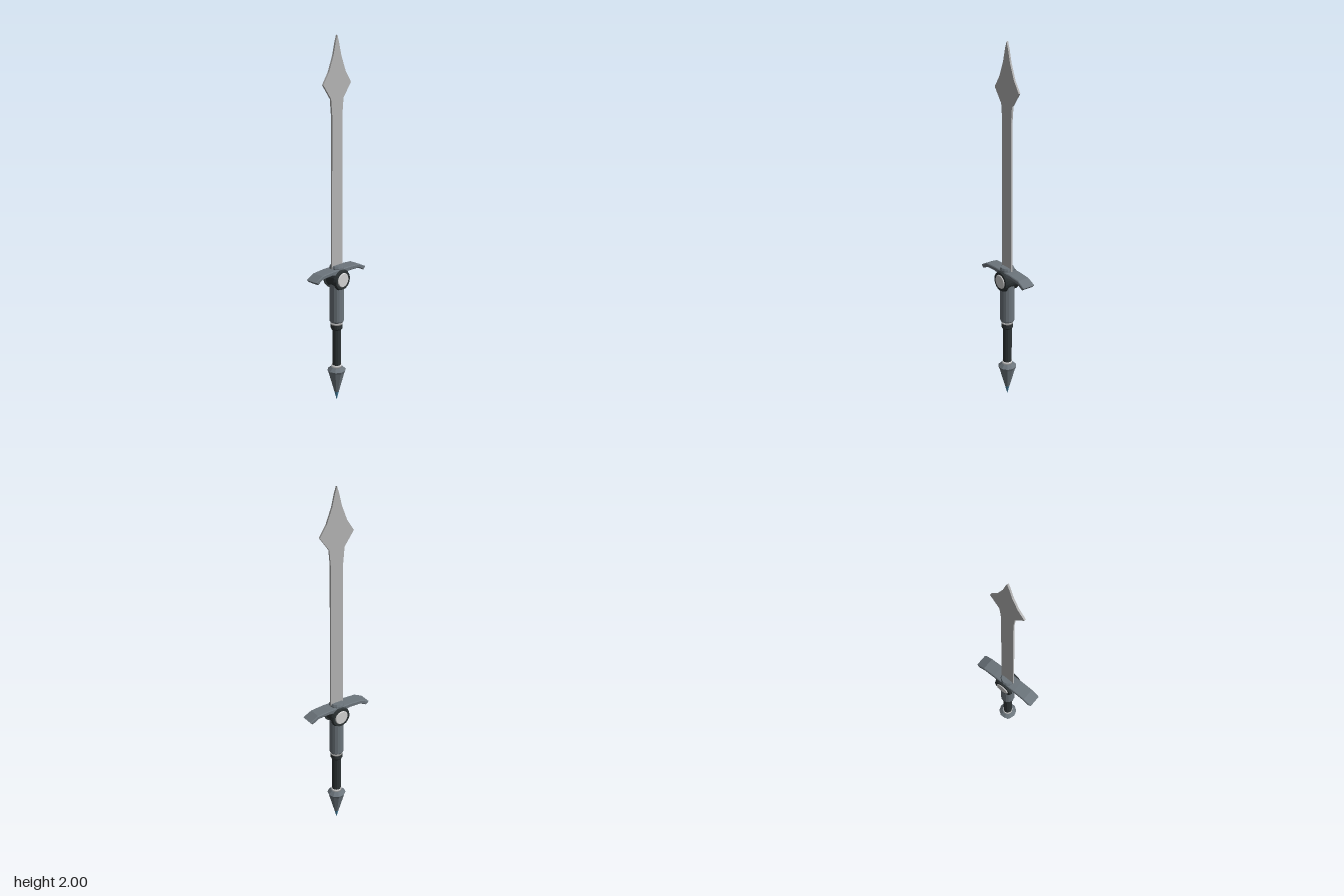
import * as THREE from 'three';

const mat = (name, color) => {
  const m = new THREE.MeshStandardMaterial({ color });
  m.name = name;
  return m;
};

export function createModel() {
  const blade = mat('blade silver', 0xb4b4b4);
  const pale = mat('pale metal', 0xd2d2d2);
  const steel = mat('blue grey steel', 0x6c757c);
  const dark = mat('dark grip', 0x2d3335);
  const blue = mat('blue tip', 0x4a86a8);
  [steel, dark, blue].forEach((m) => { m.flatShading = true; });

  const group = new THREE.Group();
  const add = (name, geo, material) => {
    const mesh = new THREE.Mesh(geo, material);
    mesh.name = name;
    group.add(mesh);
    return mesh;
  };
  // turned part around the upright axis, from [radius, height] pairs
  const turned = (name, points, material, sides = 16) =>
    add(name, new THREE.LatheGeometry(points.map(([r, y]) => new THREE.Vector2(r, y)), sides), material);
  // mirrored [z, y] outline, given as the +z half, extruded along x
  const plate = (name, half, width, bevel, material) => {
    const left = half.filter(([z]) => z > 0).reverse().map(([z, y]) => [-z, y]);
    const shape = new THREE.Shape([...half, ...left].map(([z, y]) => new THREE.Vector2(z, y)));
    const depth = width - 2 * bevel;
    const geo = new THREE.ExtrudeGeometry(shape, {
      depth, bevelEnabled: bevel > 0, bevelThickness: bevel, bevelSize: bevel,
      bevelOffset: -bevel, bevelSegments: 1,
    });
    geo.translate(0, 0, -depth / 2).rotateY(-Math.PI / 2);
    return add(name, geo, material);
  };

  // Blade with a flared spear-like point
  plate('blade', [
    [0.04, 0.78], [0.037, 1.6], [0.045, 1.685], [0.1, 1.76], [0.06, 1.82],
    [0.028, 1.9], [0.012, 1.965], [0, 2],
  ], 0.01, 0, blade);

  // Crossguard with drooping ends, and the cap where the blade enters
  plate('crossguard', [
    [0, 0.745], [0.07, 0.757], [0.135, 0.754], [0.175, 0.734],
    [0.192, 0.75], [0.142, 0.775], [0.07, 0.78], [0, 0.78],
  ], 0.074, 0.004, steel);
  turned('bladeCollar', [[0, 0.74], [0.04, 0.74], [0.04, 0.785], [0.035, 0.797], [0, 0.797]], steel, 12);

  // Round hub through the guard, with a pale disc on each side
  const hub = add('hub', new THREE.CylinderGeometry(0.048, 0.048, 0.076, 20), dark);
  hub.rotation.z = Math.PI / 2;
  hub.position.y = 0.72;
  for (const side of [-1, 1]) {
    const ring = add('hubRing', new THREE.CylinderGeometry(0.053, 0.059, 0.014, 20), dark);
    ring.rotation.z = -side * Math.PI / 2;
    ring.position.set(side * 0.041, 0.72, 0);
    const disc = add('hubDisc', new THREE.CylinderGeometry(0.036, 0.041, 0.006, 20), pale);
    disc.rotation.z = -side * Math.PI / 2;
    disc.position.set(side * 0.0495, 0.72, 0);
  }

  // Handle
  turned('upperHandle', [[0, 0.47], [0.036, 0.47], [0.04, 0.478], [0.04, 0.72], [0, 0.72]], steel);
  turned('upperRing', [[0, 0.456], [0.033, 0.456], [0.033, 0.471], [0, 0.471]], pale);
  turned('handleCollar', [[0, 0.426], [0.028, 0.426], [0.033, 0.434], [0.033, 0.457], [0, 0.457]], dark);
  turned('grip', [[0, 0.21], [0.025, 0.21], [0.025, 0.43], [0, 0.43]], dark, 12);
  turned('lowerRing', [[0, 0.2], [0.028, 0.2], [0.028, 0.216], [0, 0.216]], pale);

  // Pointed pommel
  turned('pommel', [[0.013, 0.05], [0.046, 0.17], [0.052, 0.184], [0.032, 0.202], [0, 0.202]], steel, 10);
  turned('pommelTip', [[0, 0], [0.013, 0.05]], blue, 10);

  return group;
}
